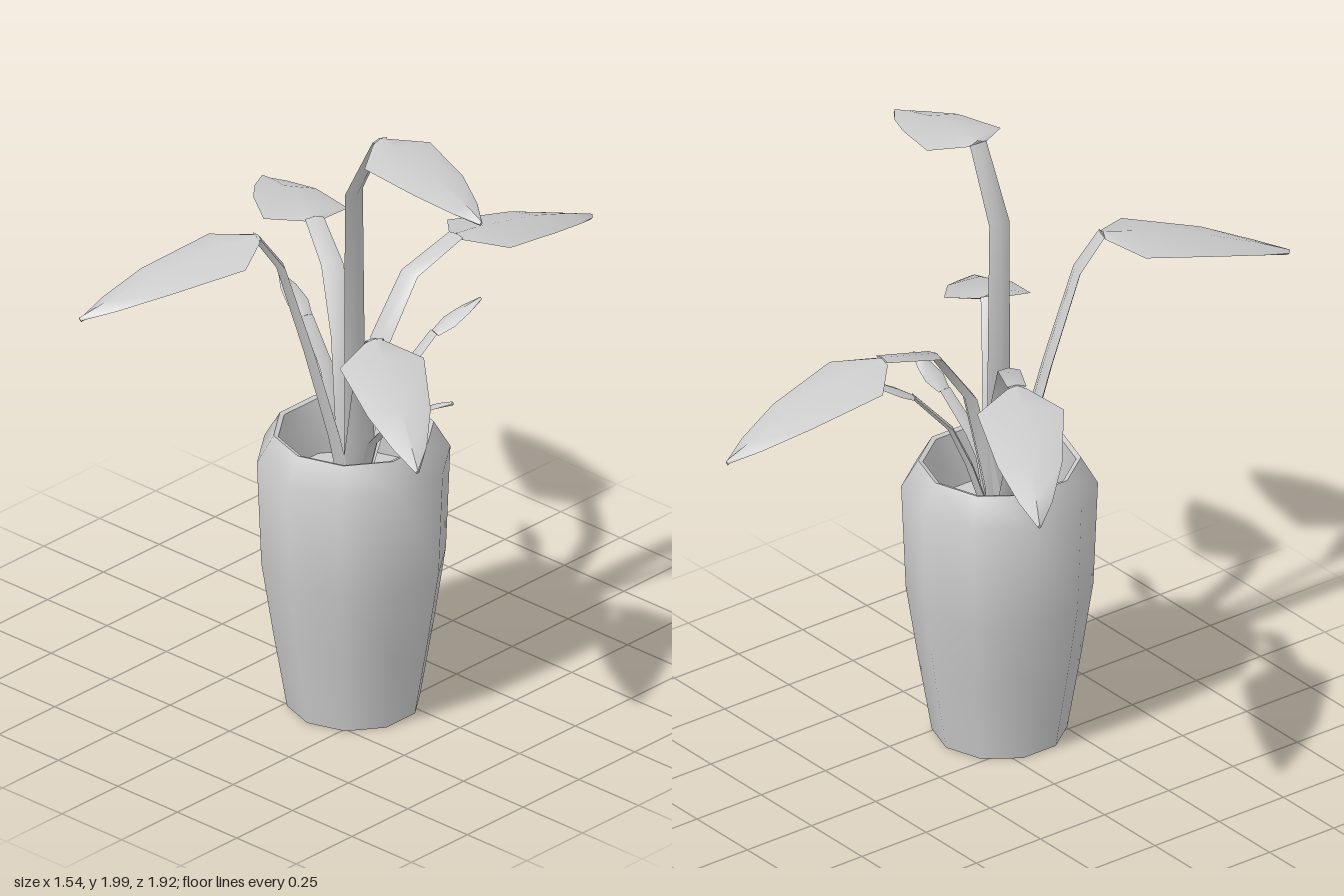
import * as THREE from 'three';
import { toCreasedNormals } from 'three/addons/utils/BufferGeometryUtils.js';

const CENTRE = [0.137, 0, 0.09];
const material = new THREE.MeshStandardMaterial({ color: 0xcccccc });

function addMesh(parent, name, geometry, crease = 0.8) {
  const mesh = new THREE.Mesh(toCreasedNormals(geometry, crease), material);
  mesh.name = name;
  parent.add(mesh);
  return mesh;
}

// Sweeps a flat diamond section along a path in the local xy plane.
// Each station: [x, y, halfWidth, halfThickness, edgeDroop]
function loft(stations) {
  const positions = [], index = [];
  const last = stations.length - 1;
  stations.forEach(([x, y, w, t, droop = 0], i) => {
    const p = stations[Math.max(i - 1, 0)], n = stations[Math.min(i + 1, last)];
    const len = Math.hypot(n[0] - p[0], n[1] - p[1]);
    const nx = -(n[1] - p[1]) / len, ny = (n[0] - p[0]) / len;
    for (const [up, side] of [[t, 0], [-droop, w], [-t, 0], [-droop, -w]]) {
      positions.push(x + nx * up, y + ny * up, side);
    }
    if (i < last) {
      for (let k = 0; k < 4; k++) {
        const a = i * 4 + k, b = i * 4 + (k + 1) % 4;
        index.push(a, b, b + 4, a, b + 4, a + 4);
      }
    }
  });
  const e = last * 4;
  index.push(0, 2, 1, 0, 3, 2, e, e + 1, e + 2, e, e + 2, e + 3);
  const geometry = new THREE.BufferGeometry();
  geometry.setAttribute('position', new THREE.Float32BufferAttribute(positions, 3));
  geometry.setIndex(index);
  return geometry;
}

// Blade outlines: [fraction of length, half width]
const BROAD = [[0, 0.03], [0.17, 0.134], [0.58, 0.1], [0.84, 0.052], [1, 0.006]];
const SLIM = [[0, 0.022], [0.3, 0.037], [0.65, 0.028], [1, 0.004]];

// stem: [radius, height] points, the last one being where the blade begins
const tall = { stem: [[0.01, 0.7], [0.01, 0.94], [0.005, 1.76], [0.125, 1.985]], tip: [0.59, 1.88], outline: BROAD };
const front = { stem: [[0.02, 0.7], [0.07, 0.94], [0.155, 1.25], [0.25, 1.56], [0.33, 1.675]], tip: [0.925, 1.52], outline: BROAD };
const arching = { stem: [[0, 0.7], [0.055, 0.94], [0.12, 1.2], [0.25, 1.38], [0.455, 1.435]], tip: [1.053, 1.275], outline: BROAD };
const low = { stem: [[0.01, 0.7], [0.075, 0.94], [0.165, 1.26], [0.25, 1.37]], tip: [0.745, 1.165], outline: BROAD };
const sprout = { stem: [[0.02, 0.7], [0.1, 0.94], [0.16, 1.075], [0.28, 1.205]], tip: [0.44, 1.285], outline: SLIM };
const lowSprout = { stem: [[0.02, 0.7], [0.08, 0.92], [0.13, 0.98], [0.25, 1.08]], tip: [0.39, 1.155], outline: SLIM };

// Each leaf with its heading [dx, dz]
const LEAVES = [
  ['tallLeaf', tall, [0.59, 0.055]],
  ['frontLeaf', front, [-0.345, 0.86]],
  ['backLeaf', arching, [0.012, -1.05]],
  ['rightLeaf', arching, [-0.9, -0.55]],
  ['leftLeaf', low, [0.635, 0.39]],
  ['rightSprout', sprout, [-0.43, -0.12]],
  ['backSprout', sprout, [0.143, -0.405]],
  ['leftSprout', lowSprout, [0.39, -0.03]],
];

function createLeaf(name, { stem, tip, outline }, [dx, dz]) {
  const leaf = new THREE.Group();
  leaf.name = name;
  leaf.rotation.y = Math.atan2(-dz, dx);
  const broad = outline === BROAD;

  // Tapering flat stem, running slightly into the blade
  const base = stem[stem.length - 1];
  const [w0, w1] = broad ? [0.05, 0.03] : [0.032, 0.02];
  addMesh(leaf, name + 'Stem', loft(stem.map(([x, y], i) => {
    const f = i / (stem.length - 1);
    return [x, y, w0 + (w1 - w0) * f, (broad ? 0.02 : 0.013) * (1 - 0.5 * f), -0.004];
  })), 1.0);

  // Thin bowed blade with drooping edges
  const bow = broad ? 0.024 : 0.006;
  addMesh(leaf, name + 'Blade', loft(outline.map(([f, w]) => [
    base[0] + (tip[0] - base[0]) * f,
    base[1] + (tip[1] - base[1]) * f + bow * 4 * f * (1 - f),
    w, broad ? 0.009 : 0.006, w * 0.13,
  ])));
  return leaf;
}

export function createModel() {
  const model = new THREE.Group();
  model.name = 'pottedPlant';
  const plant = new THREE.Group();
  plant.name = 'plant';
  plant.position.set(...CENTRE);

  // Ten-sided pot: closed base, bulging wall, drawn-in rim and inner wall
  const profile = [
    [0, 0], [0.208, 0], [0.25, 0.25], [0.288, 0.5], [0.302, 0.85], [0.25, 0.94],
    [0.235, 0.935], [0.225, 0.85], [0.225, 0.74],
  ].map(([r, y]) => new THREE.Vector2(r, y));
  const pot = addMesh(model, 'pot', new THREE.LatheGeometry(profile, 10), 0.9);
  pot.position.set(...CENTRE);

  // Soil
  const soil = addMesh(model, 'soil', new THREE.CylinderGeometry(0.225, 0.225, 0.02, 10));
  soil.position.set(CENTRE[0], 0.74, CENTRE[2]);

  for (const [name, shape, heading] of LEAVES) plant.add(createLeaf(name, shape, heading));
  model.add(plant);
  return model;
}
